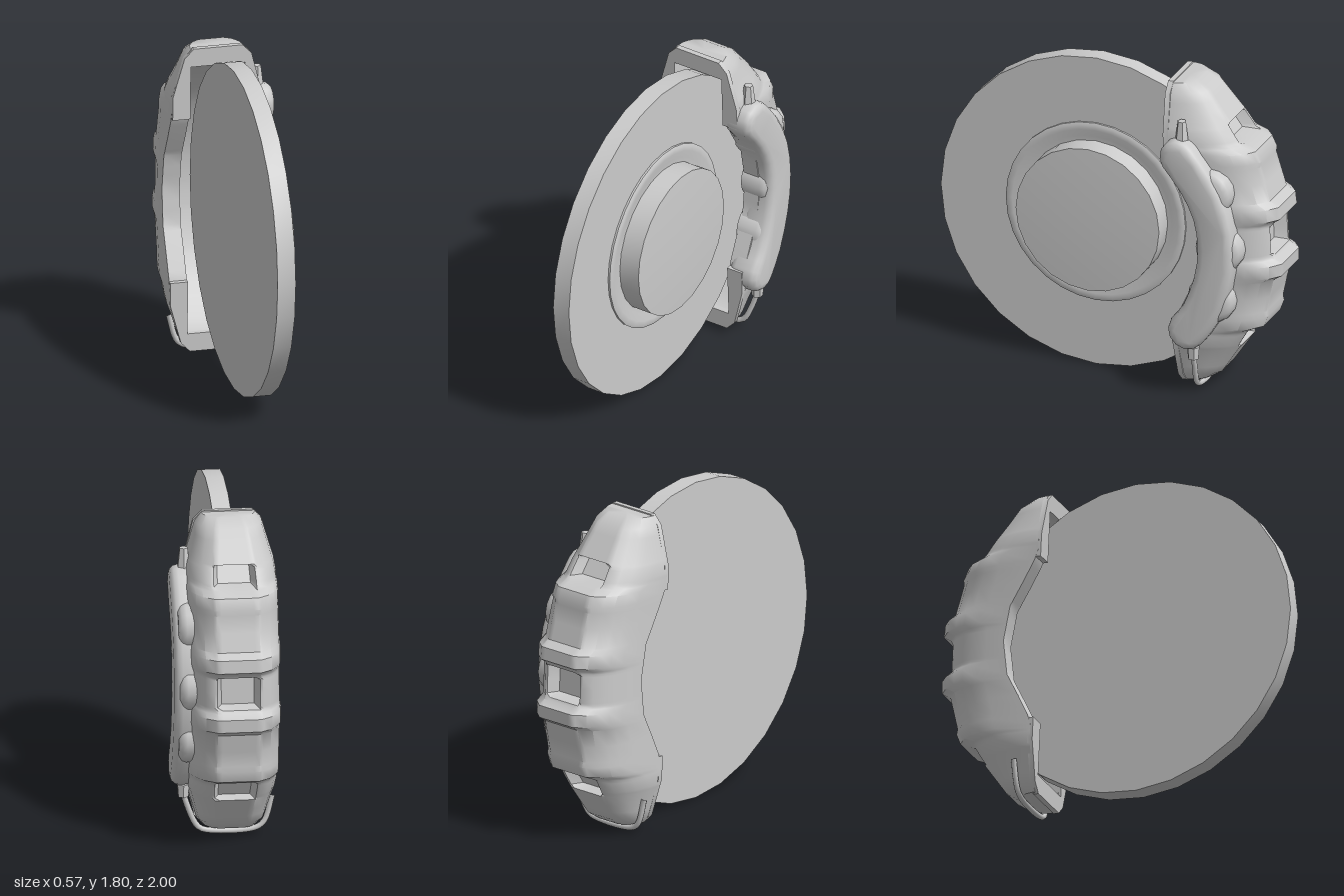
import * as THREE from 'three';
import { toCreasedNormals } from 'three/addons/utils/BufferGeometryUtils.js';

const material = new THREE.MeshStandardMaterial({ color: 0xcccccc });
const CENTRE_Y = 0.9, CENTRE_Z = 0.1;

function part(name, geometry, crease = 0.6) {
  const mesh = new THREE.Mesh(toCreasedNormals(geometry, crease), material);
  mesh.name = name;
  return mesh;
}

// Linear interpolation in a short list of [position, value] pairs
function lerpTable(table, t) {
  for (let i = 1; i < table.length; i++) {
    const [t0, v0] = table[i - 1], [t1, v1] = table[i];
    if (t <= t1) return v0 + (v1 - v0) * (t - t0) / (t1 - t0);
  }
  return table[table.length - 1][1];
}

// Caliper profile by distance along the body from its middle
const OUTER = [[0, 1.04], [0.1, 1.04], [0.13, 1.09], [0.2, 1.085], [0.23, 1.035], [0.42, 0.985],
  [0.45, 0.99], [0.51, 0.965], [0.54, 0.89], [0.65, 0.82], [0.83, 0.69], [0.87, 0.62]];
const INNER = [[0, 0.68], [0.2, 0.65], [0.35, 0.57], [0.45, 0.52], [0.5, 0.5], [0.87, 0.5]];
const HALF_WIDTH = [[0, 0.245], [0.6, 0.245], [0.82, 0.18], [0.87, 0.14]];
const DOME = [[-1, 0.26], [-0.95, 0.17], [-0.86, 0.11], [-0.72, 0.05], [-0.53, 0.012], [-0.47, 0], [-0.36, 0],
  [0, 0], [0.36, 0], [0.47, 0], [0.53, 0.012], [0.72, 0.05], [0.86, 0.11], [0.95, 0.17], [1, 0.26]];
const MID_X = -0.043;

// Cross-section of the bridge: domed outside, hollow inside for the disc
function caliperSection(t) {
  const a = Math.abs(t);
  const outer = lerpTable(OUTER, a), inner = lerpTable(INNER, a), w = lerpTable(HALF_WIDTH, a);
  const fit = Math.min(1, (outer - inner) / 0.3);
  const pocket = a < 0.085 || (a > 0.545 && a < 0.645) ? 0.08 : 0;
  const hollow = a < 0.7705 ? Math.max(inner, Math.sqrt(0.865 - a * a)) : inner;
  const left = Math.max(-0.19, MID_X - w + 0.02), right = Math.min(0.108, MID_X + w - 0.02);
  const points = [[MID_X - w, inner]];
  for (const [u, drop] of DOME) {
    const sunk = Math.abs(u) < 0.48 ? pocket * (Math.abs(u) > 0.4 ? 0.15 : 1) : 0;
    points.push([MID_X + u * w, outer - drop * fit - sunk]);
  }
  points.push([MID_X + w, inner], [right, inner], [right, hollow], [left, hollow], [left, inner]);
  return points.map(([x, d]) => [x, t, -d]);
}

function caliperBody() {
  const half = [0.075, 0.09, 0.105, 0.13, 0.2, 0.23, 0.33, 0.42, 0.45, 0.51, 0.535, 0.55,
    0.565, 0.625, 0.64, 0.655, 0.72, 0.77, 0.771, 0.82, 0.865];
  const stations = [...half.map(t => -t).reverse(), 0, ...half];
  const rows = stations.map(caliperSection);
  const n = rows[0].length, position = rows.flat(2), index = [];
  for (let s = 0; s < rows.length - 1; s++) {
    for (let i = 0; i < n; i++) {
      const j = (i + 1) % n, a = s * n + i, b = s * n + j;
      index.push(a, a + n, b + n, a, b + n, b);
    }
  }
  // Closed ends
  for (const s of [0, rows.length - 1]) {
    const centre = position.length / 3;
    position.push(MID_X, stations[s], -0.56);
    for (let i = 0; i < n; i++) {
      const a = s * n + i, b = s * n + (i + 1) % n;
      if (s === 0) index.push(centre, a, b);
      else index.push(centre, b, a);
    }
  }
  const geometry = new THREE.BufferGeometry();
  geometry.setAttribute('position', new THREE.Float32BufferAttribute(position, 3));
  geometry.setIndex(index);
  return part('caliperBody', geometry, 0.75);
}

// Thin U-shaped frame round each end of the opening
function endFlange(side) {
  const outline = [[-0.287, 0.47], [-0.287, 0.6], [-0.225, 0.82], [-0.175, 0.872], [0.095, 0.872],
    [0.145, 0.82], [0.202, 0.6], [0.202, 0.47], [0.11, 0.47], [0.11, 0.77], [-0.19, 0.77], [-0.19, 0.47]];
  const shape = new THREE.Shape(outline.map(([x, t]) => new THREE.Vector2(x, t * side)));
  const geometry = new THREE.ExtrudeGeometry(shape, { depth: 0.03, bevelEnabled: false });
  geometry.translate(0, 0, -0.515);
  return part(side > 0 ? 'upperFlange' : 'lowerFlange', geometry);
}

// Curved bean-shaped cylinder housing, with coordinates (-z, y)
function cylinderHousing() {
  const path = new THREE.SplineCurve([[0.465, 1.405], [0.57, 1.27], [0.655, 1.1], [0.685, 0.9],
    [0.66, 0.7], [0.59, 0.51], [0.515, 0.4]].map(p => new THREE.Vector2(...p)));
  const radius = 0.06, outline = [], steps = 12;
  const edge = (u, angle) => {
    const tangent = path.getTangent(u), p = path.getPoint(u);
    const dir = Math.atan2(tangent.y, tangent.x) + angle;
    outline.push(new THREE.Vector2(p.x + radius * Math.cos(dir), p.y + radius * Math.sin(dir)));
  };
  for (let i = 0; i <= steps; i++) edge(i / steps, Math.PI / 2);
  for (let i = 1; i < 6; i++) edge(1, Math.PI / 2 - i * Math.PI / 6);
  for (let i = steps; i >= 0; i--) edge(i / steps, -Math.PI / 2);
  for (let i = 1; i < 6; i++) edge(0, -Math.PI / 2 - i * Math.PI / 6);
  const geometry = new THREE.ExtrudeGeometry(new THREE.Shape(outline), {
    depth: 0.09, bevelThickness: 0.045, bevelSize: 0.045, bevelSegments: 3 });
  geometry.rotateY(Math.PI / 2);
  geometry.translate(0.15, 0, 0);
  return part('cylinderHousing', geometry, 0.9);
}

// Rounded boss showing on both edges of the housing
function pistonBoss(y, z) {
  const profile = [[0, 0.1], [0.135, 0.1], [0.135, 0.215], [0.125, 0.24], [0.1, 0.258], [0, 0.258]];
  const geometry = new THREE.LatheGeometry(profile.map(p => new THREE.Vector2(...p)), 16);
  geometry.rotateZ(-Math.PI / 2);
  geometry.translate(0, y, z);
  return part('pistonBoss', geometry, 0.9);
}

function upright(name, rTop, rBottom, height, sides, x, y, z) {
  const mesh = part(name, new THREE.CylinderGeometry(rTop, rBottom, height, sides));
  mesh.position.set(x, y, z);
  return mesh;
}

export function createModel() {
  const model = new THREE.Group();
  model.name = 'discBrake';

  // Disc, raised ring and hub share one axis along x
  const turned = (name, profile, segments) => {
    const geometry = new THREE.LatheGeometry(profile.map(p => new THREE.Vector2(...p)), segments);
    geometry.rotateZ(-Math.PI / 2);
    geometry.translate(0, CENTRE_Y, CENTRE_Z);
    model.add(part(name, geometry));
  };
  turned('disc', [[0, -0.075], [0.9, -0.075], [0.9, 0.025], [0, 0.025]], 28);
  turned('hubRing', [[0.52, 0.02], [0.52, 0.036], [0.505, 0.042], [0.48, 0.042], [0.44, 0.032], [0.4, 0.03]], 32);
  turned('hub', [[0.415, 0.02], [0.415, 0.15], [0, 0.172]], 24);

  // Bridge and flanges, tilted slightly round the disc axis
  const caliper = new THREE.Group();
  caliper.name = 'caliper';
  caliper.add(caliperBody(), endFlange(1), endFlange(-1));
  for (const child of caliper.children) child.position.y = -0.015;
  caliper.position.set(0, CENTRE_Y, CENTRE_Z);
  caliper.rotation.x = 0.046;
  model.add(caliper);

  model.add(cylinderHousing());
  for (const [y, z] of [[1.22, -0.63], [0.9, -0.69], [0.6, -0.645]]) model.add(pistonBoss(y, z));

  // Bleed nipple on top
  model.add(upright('bleedNipple', 0.024, 0.04, 0.13, 6, 0.205, 1.545, -0.47));

  // Fluid pipe from the lower fitting across the end of the body
  model.add(upright('pipeFitting', 0.036, 0.03, 0.07, 6, 0.215, 0.265, -0.54));
  const route = [[0.215, 0.26, -0.54], [0.2, 0.2, -0.54], [0.14, 0.06, -0.53], [0.1, 0.035, -0.53],
    [-0.17, 0.035, -0.53], [-0.22, 0.07, -0.53], [-0.265, 0.22, -0.53]].map(p => new THREE.Vector3(...p));
  const pipe = new THREE.CatmullRomCurve3(route, false, 'centripetal');
  model.add(part('fluidPipe', new THREE.TubeGeometry(pipe, 30, 0.016, 8), 1));
  return model;
}
